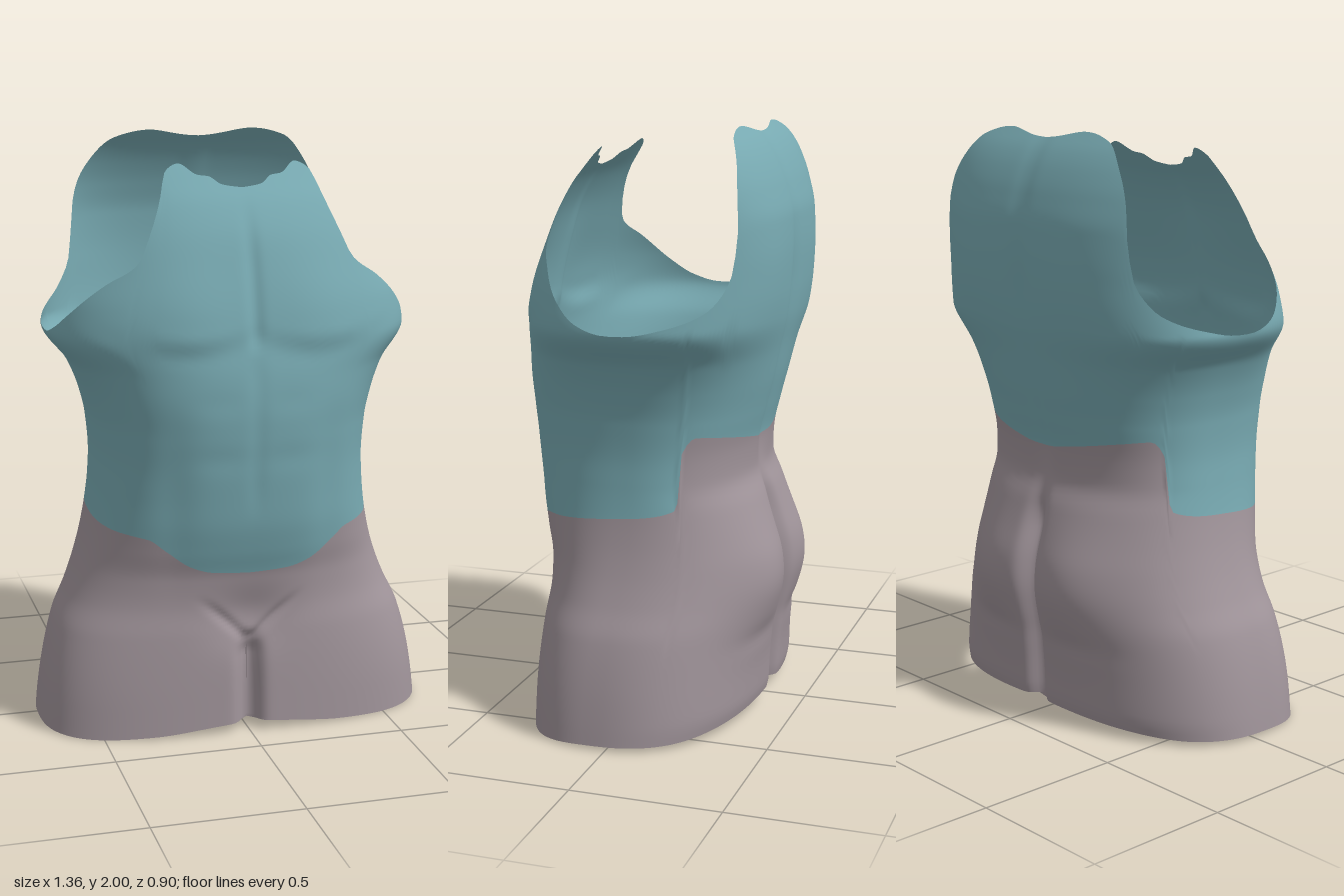
import * as THREE from 'three';

// Smooth monotone interpolation through rows of [position, value, value, ...]
function curve(keys, col = 1) {
  const n = keys.length, X = keys.map(k => k[0]), Y = keys.map(k => k[col]);
  const s = [], m = [];
  for (let i = 0; i < n - 1; i++) s.push((Y[i + 1] - Y[i]) / (X[i + 1] - X[i]));
  for (let i = 0; i < n; i++) {
    if (i === 0) m.push(s[0]);
    else if (i === n - 1) m.push(s[n - 2]);
    else m.push(s[i - 1] * s[i] <= 0 ? 0 : 2 * s[i - 1] * s[i] / (s[i - 1] + s[i]));
  }
  return x => {
    if (x <= X[0]) return Y[0];
    if (x >= X[n - 1]) return Y[n - 1];
    let i = 0;
    while (x > X[i + 1]) i++;
    const h = X[i + 1] - X[i], t = (x - X[i]) / h, t2 = t * t, t3 = t2 * t;
    return (2 * t3 - 3 * t2 + 1) * Y[i] + (t3 - 2 * t2 + t) * h * m[i]
      + (3 * t2 - 2 * t3) * Y[i + 1] + (t3 - t2) * h * m[i + 1];
  };
}
const bell = (v, r) => Math.exp(-(v * v) / (r * r));
const step = (v, a, b) => THREE.MathUtils.smoothstep(v, a, b);

// Body profile: height, half width, front depth, back depth
const PROFILE = [
  [0, 0.683, 0.372, 0.365], [0.08, 0.674, 0.37, 0.385], [0.2, 0.655, 0.367, 0.388],
  [0.35, 0.617, 0.362, 0.395], [0.45, 0.57, 0.355, 0.4], [0.55, 0.532, 0.362, 0.395],
  [0.65, 0.504, 0.39, 0.38], [0.75, 0.485, 0.414, 0.36], [0.84, 0.475, 0.426, 0.332],
  [0.93, 0.47, 0.436, 0.338], [1.05, 0.478, 0.446, 0.365], [1.15, 0.5, 0.45, 0.39],
  [1.25, 0.54, 0.442, 0.41], [1.37, 0.62, 0.42, 0.435], [1.47, 0.6, 0.402, 0.445],
  [1.6, 0.54, 0.372, 0.45], [1.7, 0.505, 0.342, 0.446], [1.8, 0.48, 0.288, 0.422],
  [1.88, 0.47, 0.222, 0.39], [1.94, 0.465, 0.17, 0.355], [2, 0.46, 0.12, 0.305],
];
const width = curve(PROFILE, 1), front = curve(PROFILE, 2), back = curve(PROFILE, 3);
const backWidth = curve([[1.37, 0.62], [1.47, 0.6], [1.55, 0.59], [1.7, 0.6], [1.85, 0.62], [2, 0.62]]);

// Edge heights by angle from front centre (0) to back centre (180)
const topEdge = curve([
  [0, 1.85], [5, 1.86], [9, 1.885], [13, 1.89], [20, 1.925], [26, 1.905], [31, 1.8], [35, 1.7],
  [38, 1.62], [51, 1.55], [67, 1.45], [79, 1.39], [90, 1.365], [105, 1.39], [123, 1.44],
  [134, 1.53], [138.5, 1.66], [141, 1.75], [149, 1.88], [160, 1.975], [171, 2], [180, 1.975],
]);
const colourEdge = curve([
  [0, 0.57], [10, 0.578], [18, 0.6], [30, 0.66], [40, 0.7], [65, 0.715], [90, 0.735],
  [114, 0.77], [116, 0.85], [117, 0.95], [124, 1.005], [140, 0.995], [165, 0.965], [180, 0.94],
]);
const bottomEdge = curve([[0, 0.035], [20, 0.008], [45, 0], [90, 0.012], [120, 0.015], [150, 0.03], [180, 0.05]]);

// Muscle relief, as outward depth added at the front and back
function frontRelief(x, y) {
  const low = 1 - step(y, 0.27, 0.37);
  let d = -0.055 * bell(x, 0.035) * low;                                // gap between thighs
  d -= 0.025 * bell(x, 0.13) * bell(y - 0.4, 0.1);                      // pubic hollow
  d -= 0.012 * bell(x - (y - 0.32) * 1.05, 0.022) * step(y, 0.3, 0.34) * (1 - step(y, 0.4, 0.5));
  const crease = 1.33 + 0.9 * (x - 0.22) ** 2;
  d += 0.02 * step(y, crease - 0.02, crease + 0.06) * (1 - step(y, 1.45, 1.75)) * bell(x - 0.22, 0.18);
  d -= 0.01 * bell(x, 0.025) * step(y, 1.32, 1.4) * (1 - step(y, 1.6, 1.85));
  d -= 0.004 * bell(x, 0.03) * step(y, 0.75, 0.9) * (1 - step(y, 1.25, 1.35));
  d -= 0.008 * bell(x - 0.27, 0.06) * bell(y - 0.85, 0.25);             // sides of the abdomen
  d -= 0.003 * (bell(y - 1.17, 0.04) + bell(y - 0.98, 0.04)) * bell(x - 0.12, 0.1);
  return d;
}
function backRelief(x, y) {
  let d = 0.055 * bell(x - 0.19, 0.2) * bell(y - 0.5, 0.2);             // buttocks
  d -= 0.05 * bell(x, 0.035) * (1 - step(y, 0.65, 0.84));               // cleft
  d -= 0.015 * bell(x, 0.045) * step(y, 0.75, 0.95) * (1 - step(y, 1.3, 1.8)); // spine
  d -= 0.005 * bell(x, 0.04) * step(y, 1.3, 1.5);
  d += 0.006 * bell(x - 0.25, 0.14) * bell(y - 1.5, 0.2);               // shoulder blades
  d -= 0.008 * bell(y - 0.29, 0.04) * bell(x - 0.2, 0.15);              // fold under buttocks
  return d;
}

// Point on the body at an angle and height, for the left half
function bodyPoint(deg, y) {
  const isFront = deg <= 90, a = (isFront ? deg : 180 - deg) * Math.PI / 180;
  const n = isFront ? 2.5 + 0.4 * (1 - step(y, 0.1, 0.5)) : 2.45 + 0.6 * step(y, 1.1, 1.6);
  const w = isFront || y < 1.37 ? width(y) : backWidth(y);
  const s = Math.pow(Math.max(Math.sin(a), 0), 2 / n), c = Math.pow(Math.max(Math.cos(a), 0), 2 / n);
  const x = w * s, fade = Math.min(1, c * 1.6);
  const mid = 0.045 * (1 - step(y, 0.2, 0.8));                          // hips sit slightly forward
  const z = isFront
    ? mid + (front(y) - mid) * c + frontRelief(x, y) * fade
    : mid - (back(y) + mid) * c - backRelief(x, y) * fade;
  return [x, z];
}

// Turns a position list and an index list into a smooth geometry
function smoothGeometry(pos, index) {
  const g = new THREE.BufferGeometry();
  g.setAttribute('position', new THREE.Float32BufferAttribute(pos, 3));
  g.setIndex(index);
  g.computeVertexNormals();
  return g;
}

// Torso and outer thighs as one smooth skin with two colour groups
function bodyGeometry() {
  const half = 120, cols = half * 2, lower = 44, upper = 64, rows = lower + upper;
  const pos = [], index = [];
  for (let j = 0; j <= rows; j++) {
    for (let i = 0; i < cols; i++) {
      const t = (i <= half ? i : cols - i) / half;
      const deg = 180 * (t - 0.11 * Math.sin(2 * Math.PI * t));
      const mid = colourEdge(deg);
      const y = j <= lower
        ? THREE.MathUtils.lerp(bottomEdge(deg), mid, j / lower)
        : THREE.MathUtils.lerp(mid, topEdge(deg), (j - lower) / upper);
      const [x, z] = bodyPoint(deg, y);
      pos.push(i <= half ? x : -x, y, z);
    }
  }
  for (let j = 0; j < rows; j++) {
    for (let i = 0; i < cols; i++) {
      const k = (i + 1) % cols, a = j * cols + i, b = j * cols + k;
      index.push(a, b, b + cols, a, b + cols, a + cols);
    }
  }
  const g = smoothGeometry(pos, index);
  g.addGroup(0, lower * cols * 6, 0);
  g.addGroup(lower * cols * 6, upper * cols * 6, 1);
  return g;
}

// Inner thigh walls, meeting along the crotch and spreading downward
const gapWidth = curve([
  [-0.335, 0], [-0.31, 0.1], [-0.27, 0.148], [-0.2, 0.178], [-0.08, 0.19],
  [0.05, 0.16], [0.15, 0.09], [0.24, 0.03], [0.315, 0],
]);
function innerThighGeometry() {
  const n = 40, m = 20, pos = [], index = [];
  for (let j = 0; j <= m; j++) {
    const v = j / m * 2 - 1, t = Math.abs(v);
    for (let i = 0; i <= n; i++) {
      const s = i / n, z = THREE.MathUtils.lerp(0.315, -0.335, s);
      const roof = 0.32 + 0.04 * Math.sin(Math.PI * s);
      pos.push(Math.sign(v) * gapWidth(z) * Math.pow(t, 0.55), THREE.MathUtils.lerp(roof, 0.035, t), z);
    }
  }
  for (let j = 0; j < m; j++) {
    for (let i = 0; i < n; i++) {
      const a = j * (n + 1) + i, b = a + n + 1;
      index.push(a, a + 1, b + 1, a, b + 1, b);
    }
  }
  return smoothGeometry(pos, index);
}

export function createModel() {
  const grey = new THREE.MeshStandardMaterial({ color: 0xa0949a, side: THREE.DoubleSide });
  grey.name = 'warm grey';
  const teal = new THREE.MeshStandardMaterial({ color: 0x78aab2, side: THREE.DoubleSide });
  teal.name = 'teal';

  const model = new THREE.Group();
  model.name = 'torso';
  const body = new THREE.Mesh(bodyGeometry(), [grey, teal]);
  body.name = 'body';
  const thighs = new THREE.Mesh(innerThighGeometry(), grey);
  thighs.name = 'innerThighs';
  model.add(body, thighs);
  return model;
}
